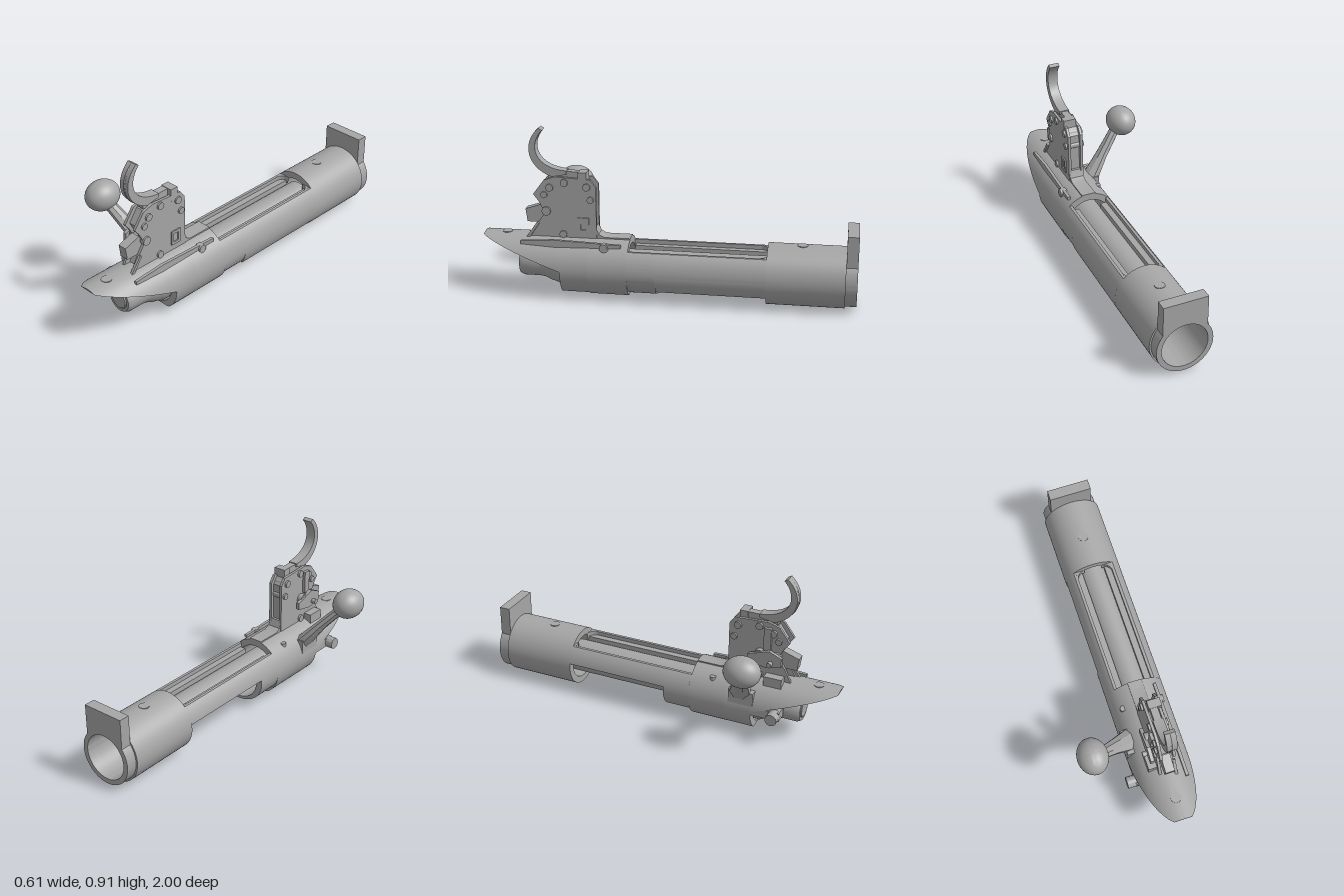
import * as THREE from 'three';
import { toCreasedNormals } from 'three/addons/utils/BufferGeometryUtils.js';

const CX = 0.14, CY = 0.17, R = 0.163, BORE = 0.125;

export function createModel() {
  const root = new THREE.Group();
  root.name = 'mechanism';
  const steel = new THREE.MeshStandardMaterial({ color: 0xa6a6a6 });
  steel.name = 'grey steel';

  const add = (name, geo, x = 0, y = 0, z = 0) => {
    const m = new THREE.Mesh(toCreasedNormals(geo, 0.5), steel);
    m.name = name;
    m.position.set(x, y, z);
    root.add(m);
    return m;
  };
  const box = (name, x0, x1, y0, y1, z0, z1) =>
    add(name, new THREE.BoxGeometry(x1 - x0, y1 - y0, z1 - z0), (x0 + x1) / 2, (y0 + y1) / 2, (z0 + z1) / 2);
  // cylinder running along x
  const pin = (name, x0, x1, y, z, r, sides = 20) =>
    add(name, new THREE.CylinderGeometry(r, r, x1 - x0, sides).rotateZ(Math.PI / 2), (x0 + x1) / 2, y, z);
  // section around the bore axis, extruded from z0 to z1
  const along = (name, shape, z0, z1) =>
    add(name, new THREE.ExtrudeGeometry(shape, { depth: z1 - z0, bevelEnabled: false, curveSegments: 40 }), CX, CY, z0);
  // side profile given as [z, y], extruded from x0 to x1
  const toShape = pts => new THREE.Shape(pts.map(p => new THREE.Vector2(p[0], p[1])));
  const across = (name, shape, x0, x1) =>
    add(name, new THREE.ExtrudeGeometry(shape, { depth: x1 - x0, bevelEnabled: false, curveSegments: 20 }).rotateY(-Math.PI / 2), x1, 0, 0);
  // skin over equal-length rings of Vector3, counter-clockwise as seen from the end
  const loft = rings => {
    const n = rings[0].length, pos = [], idx = [];
    rings.forEach(r => r.forEach(p => pos.push(p.x, p.y, p.z)));
    for (let k = 0; k < rings.length - 1; k++)
      for (let i = 0; i < n; i++) {
        const j = (i + 1) % n, a = k * n + i, b = k * n + j;
        idx.push(a, b, b + n, a, b + n, a + n);
      }
    const e = (rings.length - 1) * n;
    for (let i = 1; i < n - 1; i++) idx.push(e, e + i, e + i + 1);
    const g = new THREE.BufferGeometry();
    g.setAttribute('position', new THREE.Float32BufferAttribute(pos, 3));
    g.setIndex(idx);
    return g;
  };

  const boreHole = () => new THREE.Path().absarc(0, 0, BORE, 0, Math.PI * 2, true);
  // closed tube section with an optional flat at the bottom
  const ring = (r, lo = -1) => {
    const pts = [];
    for (let i = 0; i < 64; i++) {
      const t = i / 64 * Math.PI * 2;
      pts.push([r * Math.cos(t), Math.max(r * Math.sin(t), lo)]);
    }
    const s = toShape(pts);
    s.holes.push(boreHole());
    return s;
  };
  // wall section open at the top: from angle a up to the flat beside the slot
  const wall = (a, side) => {
    const pts = [], top = Math.asin(0.115 / R), inTop = Math.acos(0.1 / BORE), n = 20;
    for (let i = 0; i <= n; i++) {
      const t = a + (top - a) * i / n;
      pts.push([side * R * Math.cos(t), R * Math.sin(t)]);
    }
    pts.push([side * 0.1, 0.115]);
    for (let i = 0; i <= n; i++) {
      const t = inTop + (a - inTop) * i / n;
      pts.push([side * BORE * Math.cos(t), BORE * Math.sin(t)]);
    }
    return toShape(pts);
  };

  // recoil lug: ring with an upright plate
  const lug = new THREE.Shape();
  const la = Math.acos(0.12 / 0.153);
  lug.moveTo(-0.12, 0.262);
  lug.lineTo(-0.12, 0.153 * Math.sin(la));
  lug.absarc(0, 0, 0.153, Math.PI - la, Math.PI * 2 + la, false);
  lug.lineTo(0.12, 0.262);
  lug.holes.push(boreHole());
  along('recoilLug', lug, -1, -0.94);

  // receiver body
  along('frontRing', ring(R), -0.94, -0.53);
  along('leftWall', wall(-0.6, 1), -0.53, 0.05);
  along('rightWall', wall(0.15, -1), -0.53, 0.05);
  for (const s of [-1, 1]) along('bridgeWall', wall(0, s), 0.05, 0.2);
  const bridgeFloor = new THREE.Shape();
  bridgeFloor.absellipse(0, 0, R, 0.14, Math.PI, Math.PI * 2, false, 0);
  bridgeFloor.absarc(0, 0, BORE, Math.PI * 2, Math.PI, true);
  along('bridgeFloor', bridgeFloor, 0.05, 0.2);
  along('rearBridge', ring(R, -0.14), 0.2, 0.41);
  along('rearBridgeEnd', ring(R, -0.13), 0.41, 0.56);
  for (const s of [-1, 1]) {
    const x = CX + s * 0.085;
    box('feedRail', x - 0.02, x + 0.02, 0.225, 0.262, -0.53, 0.19);
    // rounded slot corner
    const c = toShape([[0, 0], [s * 0.05, 0], [s * 0.05, -0.05]]);
    c.quadraticCurveTo(s * 0.045, -0.005, 0, 0);
    add('slotCorner', new THREE.ExtrudeGeometry(c, { depth: 0.04, bevelEnabled: false }).rotateX(-Math.PI / 2), CX + s * 0.052, 0.246, -0.53);
  }

  // tang: the upper shell cut by a slanted plane
  const tang = [];
  for (let k = 0; k <= 16; k++) {
    const z = 0.56 + 0.44 * k / 16, plane = 0.155 * k / 16, n = 32;
    const t0 = Math.asin(plane / R), up = [], down = [];
    for (let i = 0; i <= n; i++) {
      const t = t0 + (Math.PI - 2 * t0) * i / n, x = R * Math.cos(t);
      up.push(new THREE.Vector3(x, R * Math.sin(t), z));
      if (i > 0 && i < n)
        down.unshift(new THREE.Vector3(x, Math.max(plane, Math.sqrt(Math.max(0, BORE * BORE - x * x))), z));
    }
    tang.push([...up, ...down]);
  }
  add('tang', loft(tang), CX, CY, 0);

  // screw seats
  for (const [z, r] of [[-0.71, 0.028], [0.88, 0.028], [0.225, 0.022]])
    add('screwSeat', new THREE.CylinderGeometry(r, r, 0.02, 24), CX, 0.325, z);
  for (const s of [-1, 1]) add('sideScrew', new THREE.CylinderGeometry(0.016, 0.016, 0.03, 16), CX + s * 0.105, 0.286, 0.32);
  for (const z of [-0.88, -0.66]) add('lowerScrew', new THREE.CylinderGeometry(0.016, 0.016, 0.02, 16), CX, 0.014, z);

  // bolt body and shroud
  const profile = [[0, -0.56], [0.09, -0.56], [0.09, 0.45], [0.117, 0.47], [0.117, 0.58], [0.108, 0.6], [0.1, 0.63],
    [0.084, 0.67], [0.08, 0.7], [0.08, 0.785], [0.07, 0.805], [0.055, 0.805], [0.055, 0.8], [0.049, 0.8], [0.049, 0.81], [0, 0.81]];
  add('boltAndShroud', new THREE.LatheGeometry(profile.map(p => new THREE.Vector2(...p)), 48).rotateX(Math.PI / 2), CX, CY, 0);
  box('cockingNotch', 0.118, 0.162, 0.22, 0.278, 0.56, 0.74);

  // bolt handle with ball knob
  const nrm = new THREE.Vector3(-0.75, -0.66, 0);
  const arm = [[0.05, 0.22, 0.49, 0.055, 0.07], [0, 0.27, 0.49, 0.04, 0.062], [-0.08, 0.37, 0.525, 0.029, 0.045], [-0.19, 0.495, 0.575, 0.026, 0.032]]
    .map(([x, y, z, a, b]) => Array.from({ length: 8 }, (_, i) => {
      const t = (i + 0.5) / 8 * Math.PI * 2;
      return new THREE.Vector3(x, y, z).addScaledVector(nrm, a * Math.cos(t)).add(new THREE.Vector3(0, 0, b * Math.sin(t)));
    }));
  add('handleArm', loft(arm));
  add('handleKnob', new THREE.SphereGeometry(0.083, 32, 20).scale(1, 1, 1.2), -0.222, 0.527, 0.58);
  box('handleRoot', -0.02, 0.05, 0.15, 0.28, 0.43, 0.57);

  // side catch
  box('catchArm', -0.02, 0.05, 0.15, 0.2, 0.56, 0.72);
  pin('catchButton', -0.065, 0, 0.175, 0.69, 0.033, 12);

  // trigger housing: two plates around a core
  const plate = [[0.38, 0.32], [0.38, 0.61], [0.41, 0.65], [0.6, 0.66], [0.66, 0.64], [0.72, 0.56], [0.69, 0.52], [0.66, 0.46], [0.7, 0.4], [0.74, 0.32]];
  across('rightPlate', toShape(plate), 0.097, 0.112);
  across('leftPlate', toShape(plate), 0.168, 0.183);
  across('housingCore', toShape([[0.4, 0.32], [0.4, 0.6], [0.43, 0.64], [0.64, 0.63], [0.69, 0.56], [0.64, 0.46], [0.7, 0.33]]), 0.11, 0.17);
  across('sear', toShape([[0.6, 0.4], [0.62, 0.48], [0.68, 0.5], [0.77, 0.47], [0.76, 0.4]]), 0.115, 0.165);
  across('housingFoot', toShape([[0.2, 0.31], [0.2, 0.335], [0.34, 0.335], [0.37, 0.35], [0.385, 0.39], [0.42, 0.39], [0.42, 0.31]]), 0.1, 0.18);
  box('rearStop', 0.115, 0.185, 0.62, 0.688, 0.43, 0.475);
  box('triggerBar', 0.12, 0.16, 0.64, 0.685, 0.47, 0.64);

  // curved trigger blade
  const blade = new THREE.Shape();
  blade.moveTo(0.54, 0.67);
  blade.lineTo(0.54, 0.69);
  blade.bezierCurveTo(0.72, 0.7, 0.74, 0.83, 0.665, 0.905);
  blade.lineTo(0.685, 0.916);
  blade.bezierCurveTo(0.78, 0.83, 0.75, 0.7, 0.62, 0.655);
  across('triggerBlade', blade, 0.112, 0.168);
  const ridge = new THREE.CubicBezierCurve3(new THREE.Vector3(CX, 0.665, 0.63), new THREE.Vector3(CX, 0.71, 0.745),
    new THREE.Vector3(CX, 0.83, 0.772), new THREE.Vector3(CX, 0.908, 0.683));
  add('triggerRidge', new THREE.TubeGeometry(ridge, 20, 0.008, 8));

  // pins through the housing
  for (const [z, y, r] of [[0.63, 0.6, 0.02], [0.66, 0.56, 0.018], [0.43, 0.61, 0.02], [0.41, 0.54, 0.018], [0.56, 0.345, 0.02], [0.65, 0.47, 0.024], [0.55, 0.63, 0.02]])
    pin('housingPin', 0.085, 0.193, y, z, r);
  const frame = toShape([[0.42, 0.36], [0.48, 0.36], [0.48, 0.44], [0.42, 0.44]]);
  frame.holes.push(toShape([[0.435, 0.375], [0.435, 0.425], [0.465, 0.425], [0.465, 0.375]]));
  across('adjusterFrame', frame, 0.18, 0.19);

  // safety linkage on the right of the housing
  across('safetyLever', toShape([[0.5, 0.43], [0.5, 0.47], [0.62, 0.51], [0.69, 0.48], [0.69, 0.43], [0.6, 0.41]]), 0.06, 0.08);
  pin('safetyPivot', 0.035, 0.1, 0.44, 0.63, 0.014);
  pin('safetyBoss', 0.07, 0.1, 0.47, 0.56, 0.03);
  box('safetyLink', 0.08, 0.098, 0.5, 0.63, 0.58, 0.62);
  box('safetyFoot', 0.05, 0.098, 0.3, 0.36, 0.6, 0.7);

  // long spring lever on the left side
  across('springLever', toShape([[0.24, 0.3], [0.24, 0.318], [0.6, 0.33], [0.78, 0.318], [0.78, 0.3], [0.6, 0.29]]), 0.233, 0.25);
  pin('springPivot', 0.225, 0.262, 0.3, 0.33, 0.022);
  across('springWire', toShape([[0.77, 0.31], [0.7, 0.41], [0.69, 0.4], [0.75, 0.31]]), 0.18, 0.195);
  return root;
}
